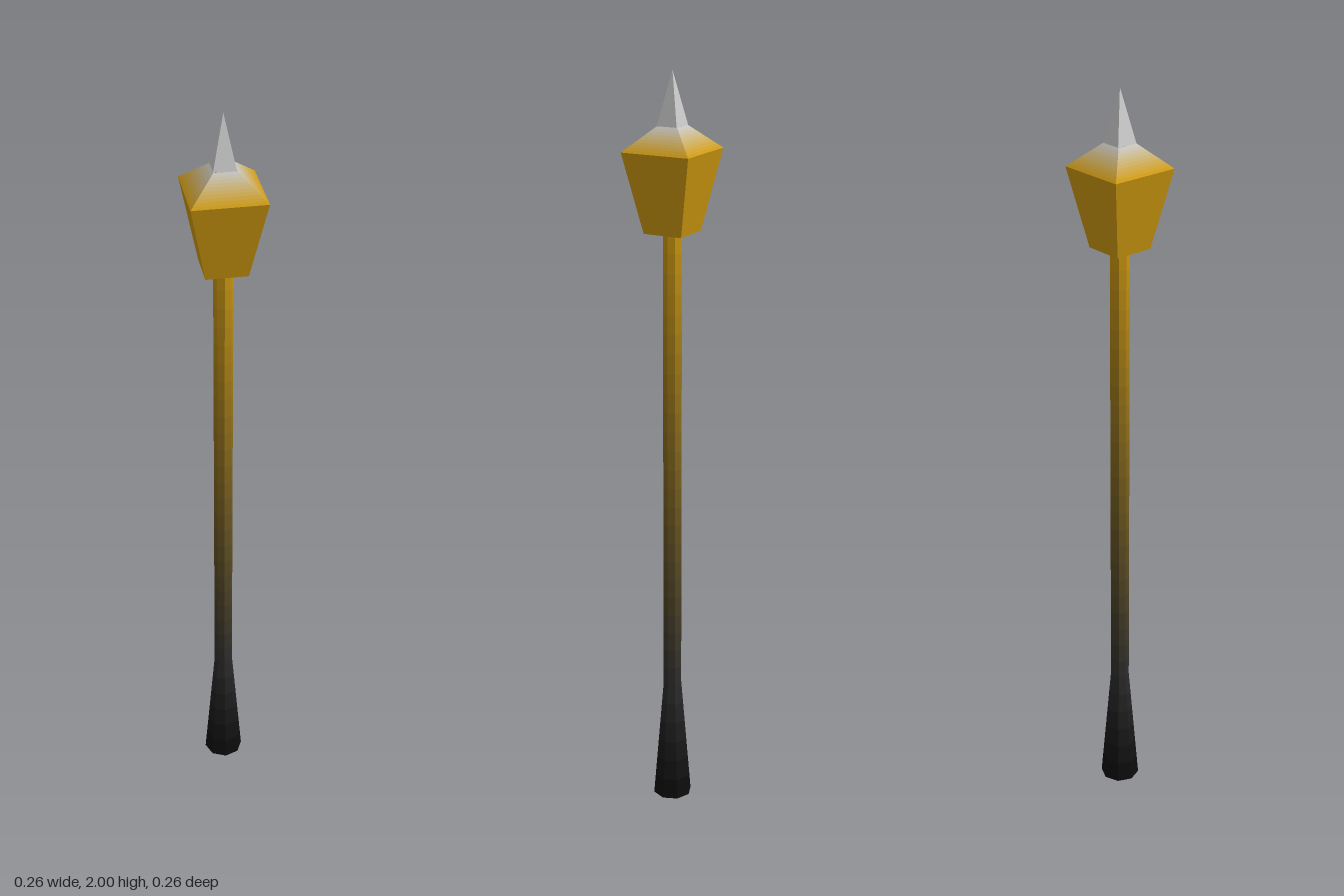
import * as THREE from 'three';

const GOLD = 0xcb960f, SILVER = 0xc4c4c4, IRON = 0x2c2c2c, BLACK = 0x0a0a0a;

// Blend two colours evenly as the eye sees them
function blend(a, b, t) {
  const from = new THREE.Color(a).convertLinearToSRGB();
  const to = new THREE.Color(b).convertLinearToSRGB();
  return from.lerp(to, t).convertSRGBToLinear();
}

// Faceted tapered tube from y0 to y1, open at both ends
function section(name, sides, r0, y0, r1, y1, color) {
  const geometry = new THREE.CylinderGeometry(r1, r0, y1 - y0, sides, 1, true);
  const material = new THREE.MeshStandardMaterial({ color, flatShading: true, side: THREE.DoubleSide });
  const mesh = new THREE.Mesh(geometry, material);
  mesh.name = name;
  mesh.position.y = (y0 + y1) / 2;
  return mesh;
}

// Stack of sections whose colour fades from bottom to top
function fadedSection(name, sides, r0, y0, r1, y1, c0, c1, bands) {
  const group = new THREE.Group();
  group.name = name;
  const { lerp } = THREE.MathUtils;
  for (let i = 0; i < bands; i++) {
    const a = i / bands, b = (i + 1) / bands;
    group.add(section(`${name}Band`, sides, lerp(r0, r1, a), lerp(y0, y1, a),
      lerp(r0, r1, b), lerp(y0, y1, b), blend(c0, c1, (a + b) / 2)));
  }
  return group;
}

// Flat downward-facing cap with corners matching the tube sections
function underside(name, sides, radius, y, color) {
  const geometry = new THREE.CircleGeometry(radius, sides).rotateX(Math.PI / 2);
  const mesh = new THREE.Mesh(geometry, new THREE.MeshStandardMaterial({ color, flatShading: true }));
  mesh.name = name;
  mesh.position.y = y;
  return mesh;
}

export function createModel() {
  const model = new THREE.Group();
  model.name = 'streetLamp';

  // Flared foot and slender octagonal pole
  model.add(underside('footBottom', 8, 0.053, 0, BLACK));
  model.add(fadedSection('foot', 8, 0.053, 0, 0.025, 0.34, BLACK, IRON, 6));
  model.add(fadedSection('pole', 8, 0.025, 0.34, 0.025, 1.6, IRON, GOLD, 24));

  // Four-sided lantern, turned very slightly on the pole
  const lantern = new THREE.Group();
  lantern.name = 'lantern';
  lantern.rotation.y = 0.03;
  lantern.add(underside('lanternBottom', 4, 0.075, 1.6, GOLD));
  lantern.add(section('lanternBody', 4, 0.075, 1.6, 0.132, 1.805, GOLD));
  lantern.add(fadedSection('roof', 4, 0.132, 1.805, 0.04, 1.865, GOLD, SILVER, 10));
  model.add(lantern);

  // Pointed finial
  model.add(section('finial', 4, 0.04, 1.865, 0, 2, SILVER));

  return model;
}
